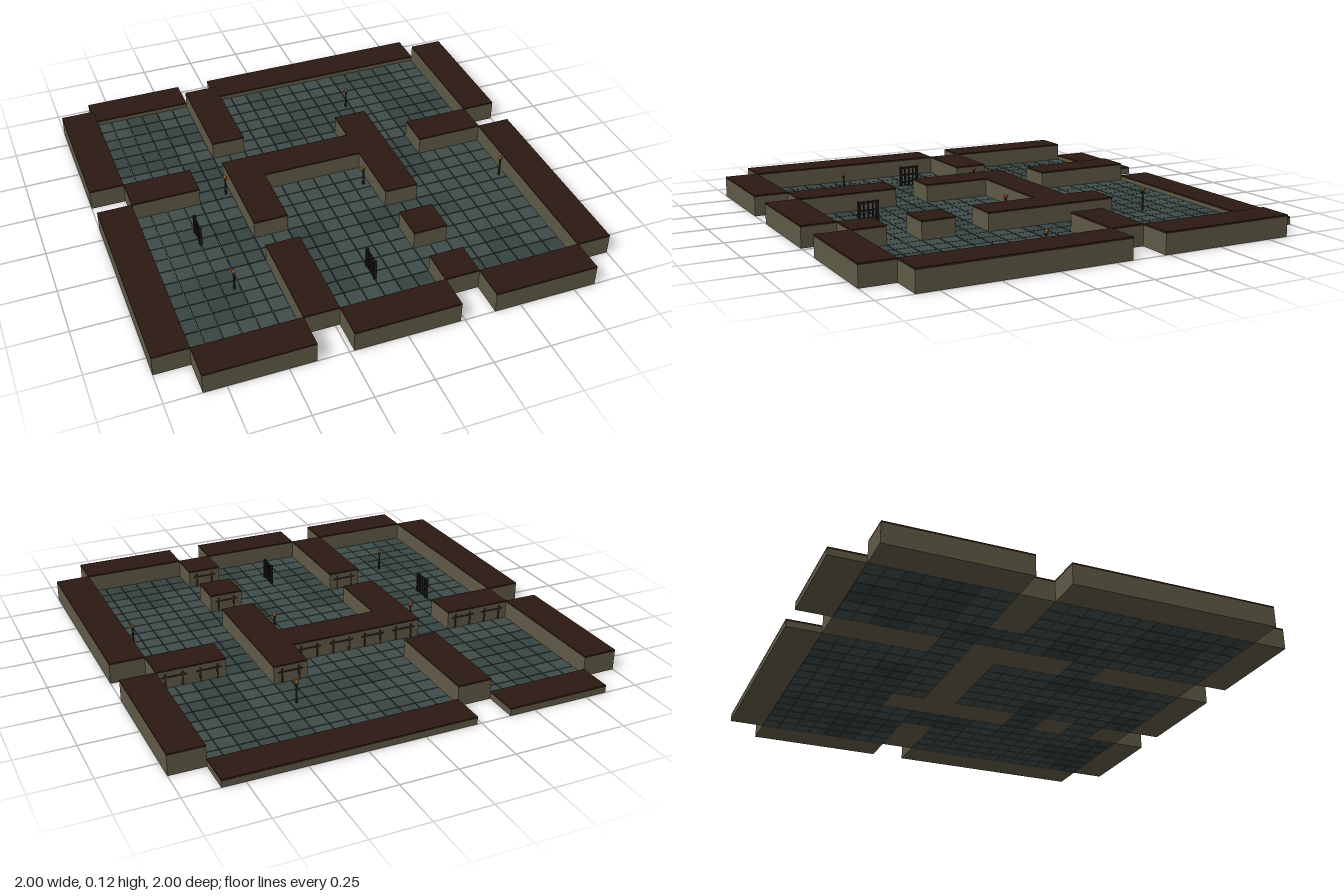
import * as THREE from 'three';
import { mergeGeometries } from 'three/addons/utils/BufferGeometryUtils.js';

// Floor plan, back row first: # wall, - low wall, f floor, blank is open
const PLAN = [
  ' --- ------- ',
  '#fff#fffffff#',
  '#fff#fffffff#',
  '#fff#fffffff#',
  '#fffffff#fff#',
  ' ##f#####f## ',
  '#fff#fff#fff#',
  '#fff#fff#fff#',
  '#fffffffffff#',
  '#fff#fff#fff#',
  '#fff#fffffff#',
  '#fff#fff#fff#',
  ' ### ### ### ',
];
const CELL = 2 / 13;
const WALL = 0.095, LOW = 0.035, CAP = 0.008, FLOOR = 0.012;

const mat = (color) => new THREE.MeshStandardMaterial({ color, flatShading: true });

// Box standing on height y
const box = (w, h, d, x, y, z) => new THREE.BoxGeometry(w, h, d).translate(x, y + h / 2, z);

export function createModel() {
  const model = new THREE.Group();
  model.name = 'dungeon';
  const stone = mat(0x5f5a46), roof = mat(0x2c1a13), iron = mat(0x1c1a17);
  const wood = mat(0x33251a), ember = mat(0x9a5a24);
  const slates = [mat(0x3f4c4a), mat(0x394644), mat(0x354240)];

  const add = (name, parts, material, parent = model) => {
    const mesh = new THREE.Mesh(mergeGeometries(parts), material);
    mesh.name = name;
    parent.add(mesh);
  };

  let seed = 7;
  const random = () => (seed = (seed * 16807) % 2147483647) / 2147483647;

  // Walls with dark caps, and floor cells of two by two tiles
  const walls = [], caps = [], braces = [], tiles = [[], [], []];
  PLAN.forEach((row, r) => [...row].forEach((kind, c) => {
    const x = (c - 6) * CELL, z = (r - 6) * CELL;
    if (kind === 'f') {
      const shade = tiles[Math.max(0, Math.floor(random() * 5) - 2)];
      const s = CELL / 2 - 0.004;
      for (const i of [-1, 1]) for (const j of [-1, 1]) {
        shade.push(box(s, FLOOR, s, x + i * CELL / 4, 0, z + j * CELL / 4));
      }
    } else if (kind !== ' ') {
      const h = kind === '-' ? LOW : WALL;
      walls.push(box(CELL, h - CAP, CELL, x, 0, z));
      caps.push(box(CELL, CAP, CELL, x, h - CAP, z));
      // Timber bracing on the rear faces of the inner walls
      if (r > 0 && r < 12 && c > 0 && c < 12 && PLAN[r - 1][c] === 'f') {
        const back = z - CELL / 2 - 0.002;
        for (const i of [-1, 1]) braces.push(box(0.008, 0.065, 0.004, x + i * 0.038, FLOOR, back));
        braces.push(box(0.11, 0.007, 0.004, x, 0.058, back));
      }
    }
  }));
  add('walls', walls, stone);
  add('wallCaps', caps, roof);
  add('wallBraces', braces, wood);
  tiles.forEach((set, i) => set.length && add('floorTiles' + (i + 1), set, slates[i]));

  // Barred gates
  [[-0.615, 0.15], [0, 0.615]].forEach(([x, z]) => {
    const gate = new THREE.Group();
    gate.name = 'gate';
    gate.position.set(x, FLOOR, z);
    const bars = [];
    for (let i = 0; i < 5; i++) {
      const w = i % 4 ? 0.006 : 0.012;
      bars.push(box(w, 0.096, w, 0, 0, (i - 2) * 0.021));
    }
    for (const y of [0.015, 0.05, 0.085]) bars.push(box(0.006, 0.008, 0.092, 0, y, 0));
    add('gateBars', bars, iron, gate);
    model.add(gate);
  });

  // Standing torches
  [[0.36, -0.565], [-0.41, -0.105], [0.2, 0.05], [0.815, 0.205], [-0.565, 0.51]].forEach(([x, z]) => {
    const torch = new THREE.Group();
    torch.name = 'torch';
    torch.position.set(x, FLOOR, z);
    add('torchPole', [
      new THREE.CylinderGeometry(0.004, 0.005, 0.085, 6).translate(0, 0.0425, 0),
      new THREE.CylinderGeometry(0.008, 0.005, 0.008, 6).translate(0, 0.084, 0),
    ], wood, torch);
    add('torchFlame', [new THREE.SphereGeometry(0.0095, 8, 6).translate(0, 0.095, 0)], ember, torch);
    model.add(torch);
  });

  return model;
}
